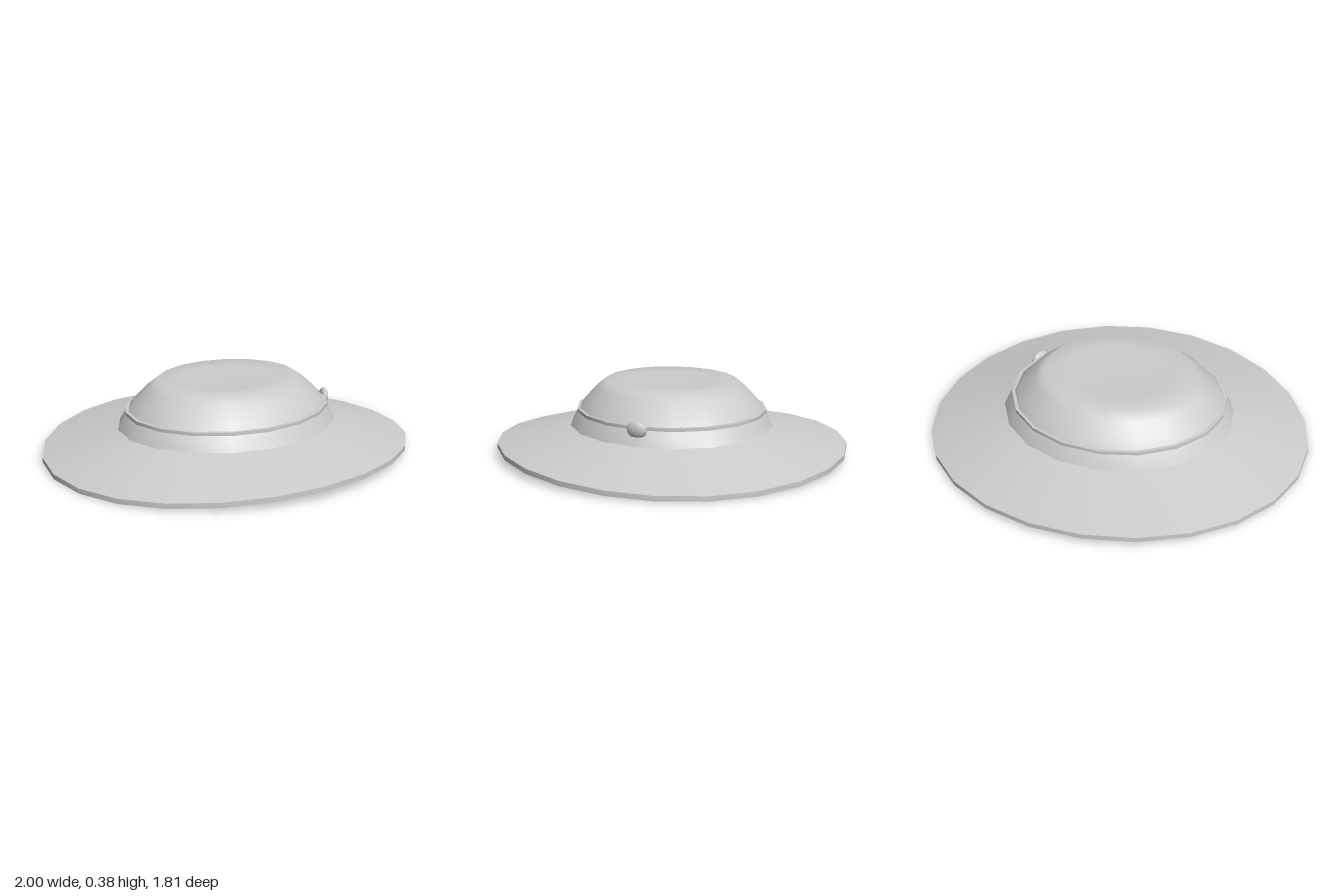
import * as THREE from 'three';
import { mergeVertices, toCreasedNormals } from 'three/addons/utils/BufferGeometryUtils.js';

const feltGrey = new THREE.MeshStandardMaterial({ color: 0xcccccc, side: THREE.DoubleSide });
feltGrey.name = 'felt grey';

// Ring of revolution from [radius, y] points, squeezed front to back by a rule
function ovalLathe(points, sides, reshape, crease) {
  let geo = new THREE.LatheGeometry(points.map(([r, y]) => new THREE.Vector2(r, y)), sides);
  geo.deleteAttribute('uv');
  geo.deleteAttribute('normal');
  const pos = geo.attributes.position;
  const v = new THREE.Vector3();
  for (let i = 0; i < pos.count; i++) {
    reshape(v.fromBufferAttribute(pos, i));
    pos.setXYZ(i, v.x, v.y, v.z);
  }
  geo = mergeVertices(geo, 1e-4);
  geo.computeVertexNormals();
  return crease ? toCreasedNormals(geo, crease) : geo;
}

function addPart(group, name, geometry) {
  const mesh = new THREE.Mesh(geometry, feltGrey);
  mesh.name = name;
  group.add(mesh);
  return mesh;
}

export function createModel() {
  const hat = new THREE.Group();
  hat.name = 'hat';

  // Sloping brim whose sides droop lower than its front and back
  const bendBrim = (v) => {
    const r = Math.hypot(v.x, v.z);
    const t = THREE.MathUtils.clamp((r - 0.6) / 0.4, 0, 1);
    if (r > 0) v.y += 0.04 * t * (v.z / r) ** 2;
    v.z *= THREE.MathUtils.lerp(0.87, 0.905, t);
  };
  addPart(hat, 'brim', ovalLathe(
    [[0.58, 0.135], [1, 0], [1, 0.025], [0.6, 0.146]], 24, bendBrim, 0.6));

  // Hollow rounded crown with a shallow dent on top
  const squeeze = (v) => { v.z *= 0.87; };
  addPart(hat, 'crown', ovalLathe([
    [0.607, 0.144], [0.583, 0.185], [0.556, 0.226], [0.525, 0.262],
    [0.485, 0.3], [0.442, 0.338], [0.39, 0.375],
    [0.27, 0.369], [0, 0.362],
  ], 18, squeeze));

  // Narrow cord around the crown
  addPart(hat, 'band', ovalLathe(
    [[0.544, 0.218], [0.566, 0.218], [0.566, 0.235], [0.544, 0.235], [0.544, 0.218]],
    18, squeeze, 0.6));

  // Flattened button on the left of the front
  const button = addPart(hat, 'button', new THREE.SphereGeometry(1, 10, 8));
  button.scale.set(0.055, 0.042, 0.022);
  button.position.set(0.49, 0.22, 0.25);
  button.rotation.y = Math.atan2(0.8, 0.6);

  return hat;
}
